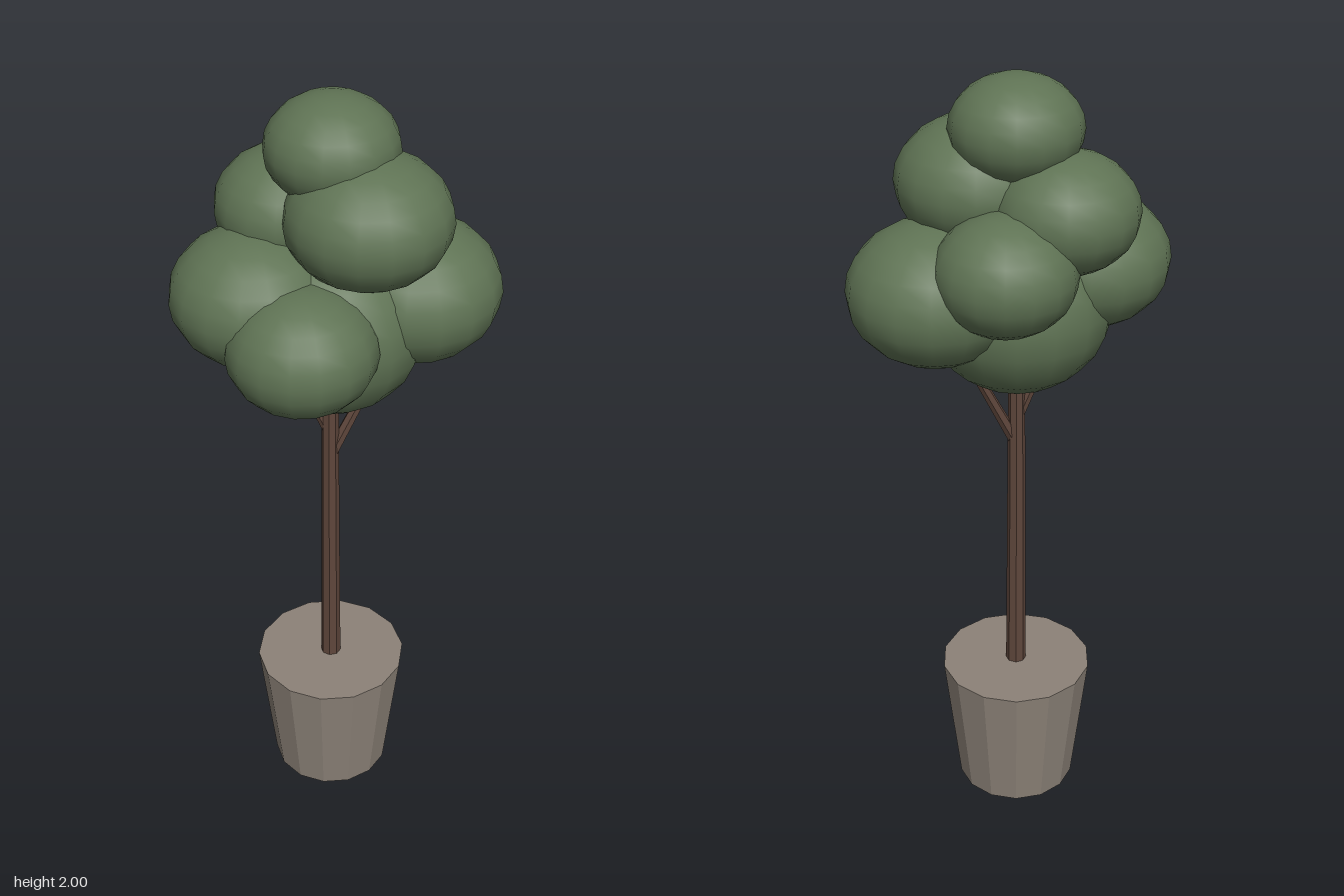
import * as THREE from 'three';

const AXIS_X = -0.017; // the trunk stands slightly off centre

function limb(name, from, to, r0, r1, sides, material) {
  const a = new THREE.Vector3(...from), b = new THREE.Vector3(...to);
  const dir = b.clone().sub(a);
  const mesh = new THREE.Mesh(new THREE.CylinderGeometry(r1, r0, dir.length(), sides), material);
  mesh.position.copy(a).add(b).multiplyScalar(0.5);
  mesh.quaternion.setFromUnitVectors(new THREE.Vector3(0, 1, 0), dir.normalize());
  mesh.name = name;
  return mesh;
}

export function createModel() {
  const tree = new THREE.Group();
  tree.name = 'pottedTree';
  const potMat = new THREE.MeshStandardMaterial({ color: 0x8c8278, flatShading: true });
  const barkMat = new THREE.MeshStandardMaterial({ color: 0x5e463b, flatShading: true });
  const leafMat = new THREE.MeshStandardMaterial({ color: 0x5f7354 });

  // Tapered faceted pot
  tree.add(limb('pot', [AXIS_X, 0, 0], [AXIS_X, 0.373, 0], 0.158, 0.2, 14, potMat));

  // Trunk and two branches that end inside the foliage
  tree.add(limb('trunk', [AXIS_X, 0.36, 0], [AXIS_X, 1.4, 0], 0.027, 0.02, 8, barkMat));
  tree.add(limb('branchLeft', [-0.01, 1.06, 0], [0.115, 1.33, -0.055], 0.016, 0.011, 6, barkMat));
  tree.add(limb('branchRight', [AXIS_X, 1.11, 0], [-0.105, 1.32, 0.015], 0.014, 0.01, 6, barkMat));

  // Foliage clumps: x, y, z, horizontal radius, vertical radius
  const foliage = new THREE.Group();
  foliage.name = 'foliage';
  const clumps = {
    core: [AXIS_X, 1.442, -0.005, 0.235, 0.225],
    left: [0.175, 1.5, -0.087, 0.212, 0.174],
    right: [-0.187, 1.53, 0.05, 0.203, 0.165],
    front: [-0.057, 1.47, 0.178, 0.18, 0.151],
    back: [0.01, 1.586, -0.19, 0.17, 0.143],
    upperRight: [-0.128, 1.697, -0.088, 0.175, 0.143],
    upperLeft: [0.075, 1.733, 0.028, 0.198, 0.156],
    crown: [-0.015, 1.874, -0.03, 0.158, 0.126],
  };
  const ball = new THREE.SphereGeometry(1, 16, 12);
  for (const [name, [x, y, z, r, ry]] of Object.entries(clumps)) {
    const clump = new THREE.Mesh(ball, leafMat);
    clump.name = name + 'Clump';
    clump.position.set(x, y, z);
    clump.scale.set(r, ry, r);
    foliage.add(clump);
  }
  tree.add(foliage);
  return tree;
}
